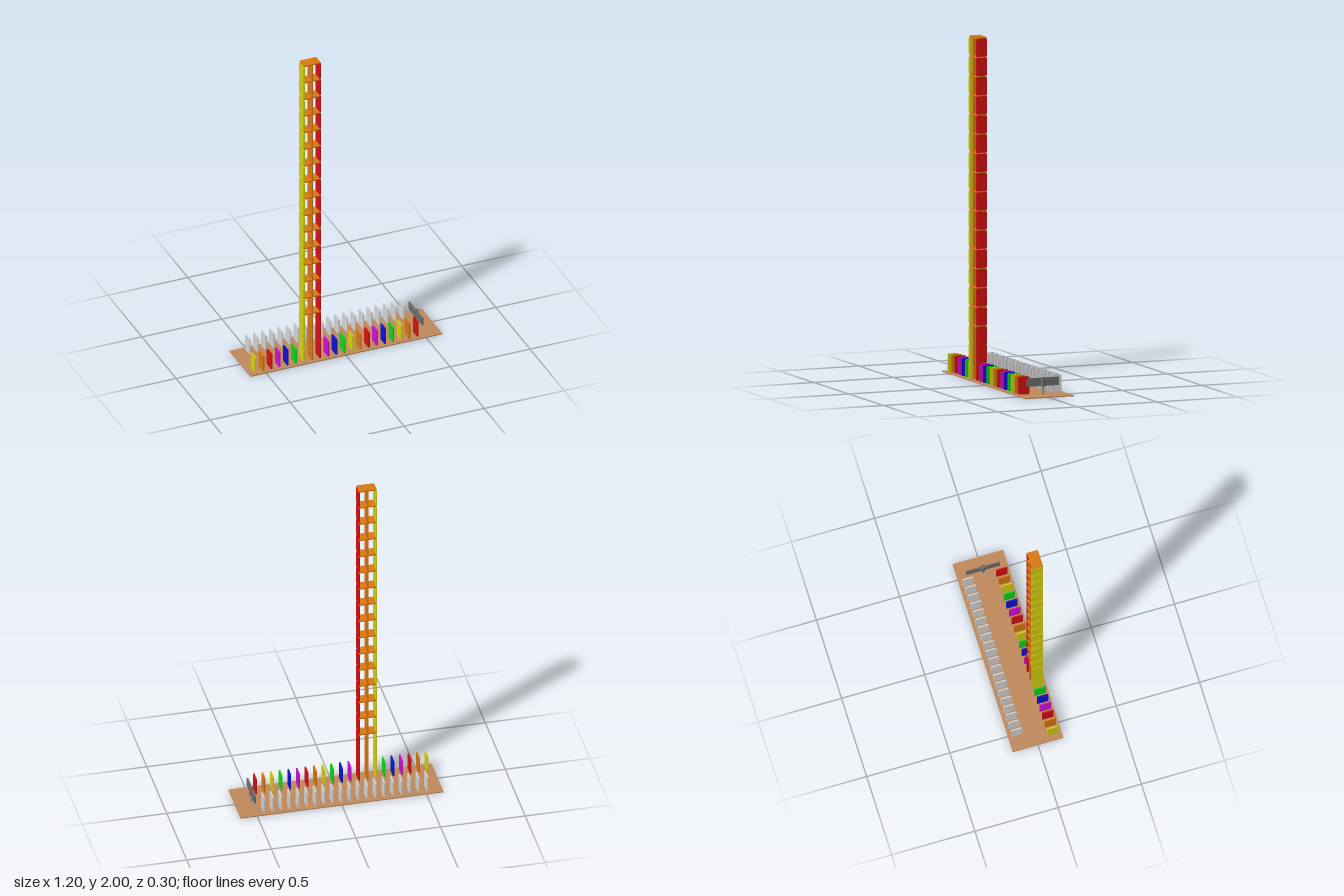
import * as THREE from 'three';

const mat = (name, color, extra) => {
  const m = new THREE.MeshStandardMaterial({ color });
  m.name = name;
  return m;
};

// Domino size and base thickness
const H = 0.1041, W = 0.067, T = 0.0075, BASE = 0.006;

// Rounded-corner domino: thickness on x, height on y, width on z, centred
function dominoGeometry() {
  const w = W / 2, h = H / 2, r = 0.008;
  const s = new THREE.Shape();
  s.moveTo(-w + r, -h);
  s.lineTo(w - r, -h);
  s.quadraticCurveTo(w, -h, w, -h + r);
  s.lineTo(w, h - r);
  s.quadraticCurveTo(w, h, w - r, h);
  s.lineTo(-w + r, h);
  s.quadraticCurveTo(-w, h, -w, h - r);
  s.lineTo(-w, -h + r);
  s.quadraticCurveTo(-w, -h, -w + r, -h);
  const g = new THREE.ExtrudeGeometry(s, { depth: T, bevelEnabled: false, curveSegments: 4 });
  g.translate(0, 0, -T / 2);
  g.rotateY(Math.PI / 2);
  return g;
}

export function createModel() {
  const model = new THREE.Group();
  model.name = 'dominoTower';

  const yellow = mat('yellow', 0xd8d412), orange = mat('orange', 0xdc7a12), red = mat('red', 0xd81114);
  const magenta = mat('magenta', 0xd410d4), blue = mat('blue', 0x1010d8), green = mat('green', 0x12d81c);
  const white = mat('white', 0xd8d8d8), wood = mat('wood', 0xc08a5a);
  const darkGrey = mat('darkGrey', 0x6e6e6e), grey = mat('grey', 0x9a9a9a);
  const cycle = [yellow, orange, red, magenta, blue, green];

  const add = (parent, name, geo, material, x, y, z) => {
    const m = new THREE.Mesh(geo, material);
    m.name = name;
    m.position.set(x, y, z);
    parent.add(m);
    return m;
  };
  const group = (name) => {
    const g = new THREE.Group();
    g.name = name;
    model.add(g);
    return g;
  };

  // Base board
  add(model, 'baseBoard', new THREE.BoxGeometry(1.2, BASE, 0.304), wood, 0, BASE / 2, 0);

  // Coloured front row and plain back row
  const domino = dominoGeometry();
  const slotX = (i) => -0.5595 + i * 0.05075;
  const frontZ = 0.1, backZ = -0.102, standY = BASE + H / 2;
  const frontRow = group('frontRow'), backRow = group('backRow');
  for (let i = 0; i < 21; i++) {
    add(frontRow, 'frontDomino', domino, cycle[i % 6], slotX(i), standY, frontZ);
    if (i > 0) add(backRow, 'backDomino', domino, white, slotX(i), standY, backZ);
  }

  // Tower on three front-row slots; floors begin above the third storey
  const tower = group('tower');
  let y = BASE + H;
  for (let storey = 1; storey < 18; storey++) {
    for (let i = 6; i <= 8; i++) add(tower, 'column', domino, cycle[i % 6], slotX(i), y + H / 2, frontZ);
    y += H;
    if (storey >= 2) {
      add(tower, 'floor', domino, orange, slotX(7), y + T / 2, frontZ).rotation.z = Math.PI / 2;
      y += T;
    }
  }

  // Turning paddle on a post at the end of the rows
  const paddle = group('paddle');
  paddle.position.x = 0.5;
  add(paddle, 'post', new THREE.CylinderGeometry(0.007, 0.007, 0.055, 16), grey, 0, 0.0315, 0);
  add(paddle, 'hub', new THREE.CylinderGeometry(0.0135, 0.0135, 0.052, 16), darkGrey, 0, 0.08, 0);
  add(paddle, 'blade', new THREE.BoxGeometry(0.009, 0.048, 0.202), darkGrey, 0, 0.08, 0);

  return model;
}
